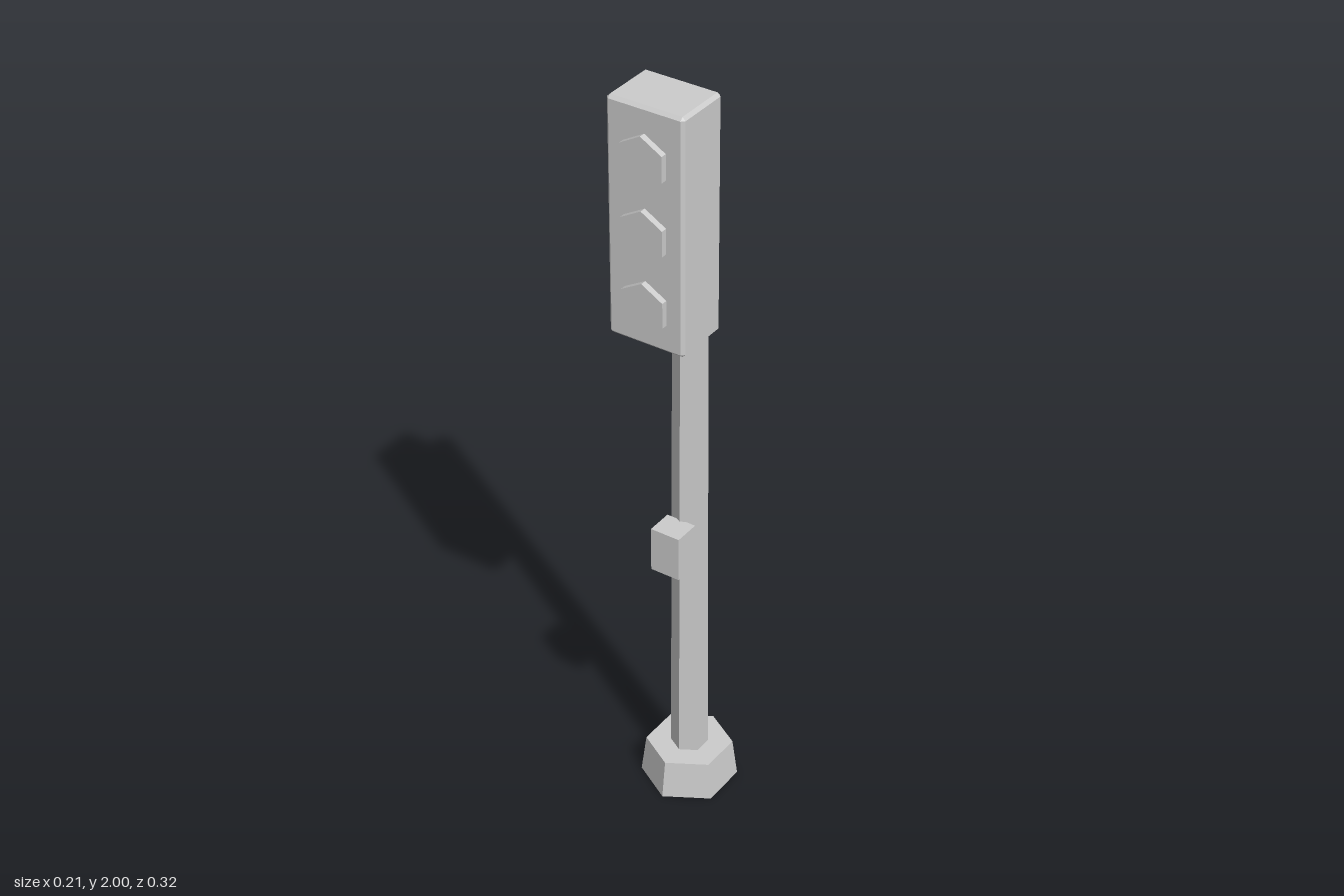
import * as THREE from 'three';
import { ConvexGeometry } from 'three/addons/geometries/ConvexGeometry.js';

// Box with a flat chamfer on every edge, centred on the origin
function chamferBox(w, h, d, c) {
  const points = [];
  for (const x of [-w / 2, w / 2])
    for (const y of [-h / 2, h / 2])
      for (const z of [-d / 2, d / 2]) {
        const ix = x - Math.sign(x) * c, iy = y - Math.sign(y) * c, iz = z - Math.sign(z) * c;
        points.push(
          new THREE.Vector3(x, iy, iz),
          new THREE.Vector3(ix, y, iz),
          new THREE.Vector3(ix, iy, z));
      }
  return new ConvexGeometry(points);
}

export function createModel() {
  const group = new THREE.Group();
  const grey = new THREE.MeshStandardMaterial({ color: 0xcccccc, flatShading: true });
  const shell = new THREE.MeshStandardMaterial({ color: 0xcccccc, flatShading: true, side: THREE.DoubleSide });

  function add(name, geometry, x, y, z, material = grey) {
    const mesh = new THREE.Mesh(geometry, material);
    mesh.name = name;
    mesh.position.set(x, y, z);
    group.add(mesh);
    return mesh;
  }

  const poleZ = -0.037;

  // Hexagonal foot, open underneath
  const footProfile = [[0.123, 0], [0.11, 0.103], [0, 0.103]].map(([r, y]) => new THREE.Vector2(r, y));
  add('foot', new THREE.LatheGeometry(footProfile, 6), 0, 0, poleZ, shell);

  // Slightly tapered hexagonal pole
  add('pole', new THREE.CylinderGeometry(0.04, 0.047, 1.847, 6), 0, 0.103 + 1.847 / 2, poleZ);

  // Crossing button box on the front of the pole
  add('buttonBox', new THREE.BoxGeometry(0.08, 0.12, 0.07), 0, 0.76, 0.035);

  // Signal housing with chamfered edges
  add('signalHousing', chamferBox(0.204, 0.606, 0.15, 0.008), 0, 1.697, 0.067);

  // Three hexagonal lamps, point upwards
  const lampGeometry = new THREE.CylinderGeometry(0.065, 0.065, 0.024, 6).rotateX(Math.PI / 2);
  ['topLamp', 'middleLamp', 'bottomLamp'].forEach((name, i) => {
    add(name, lampGeometry, 0, 1.87 - i * 0.185, 0.146);
  });

  return group;
}
